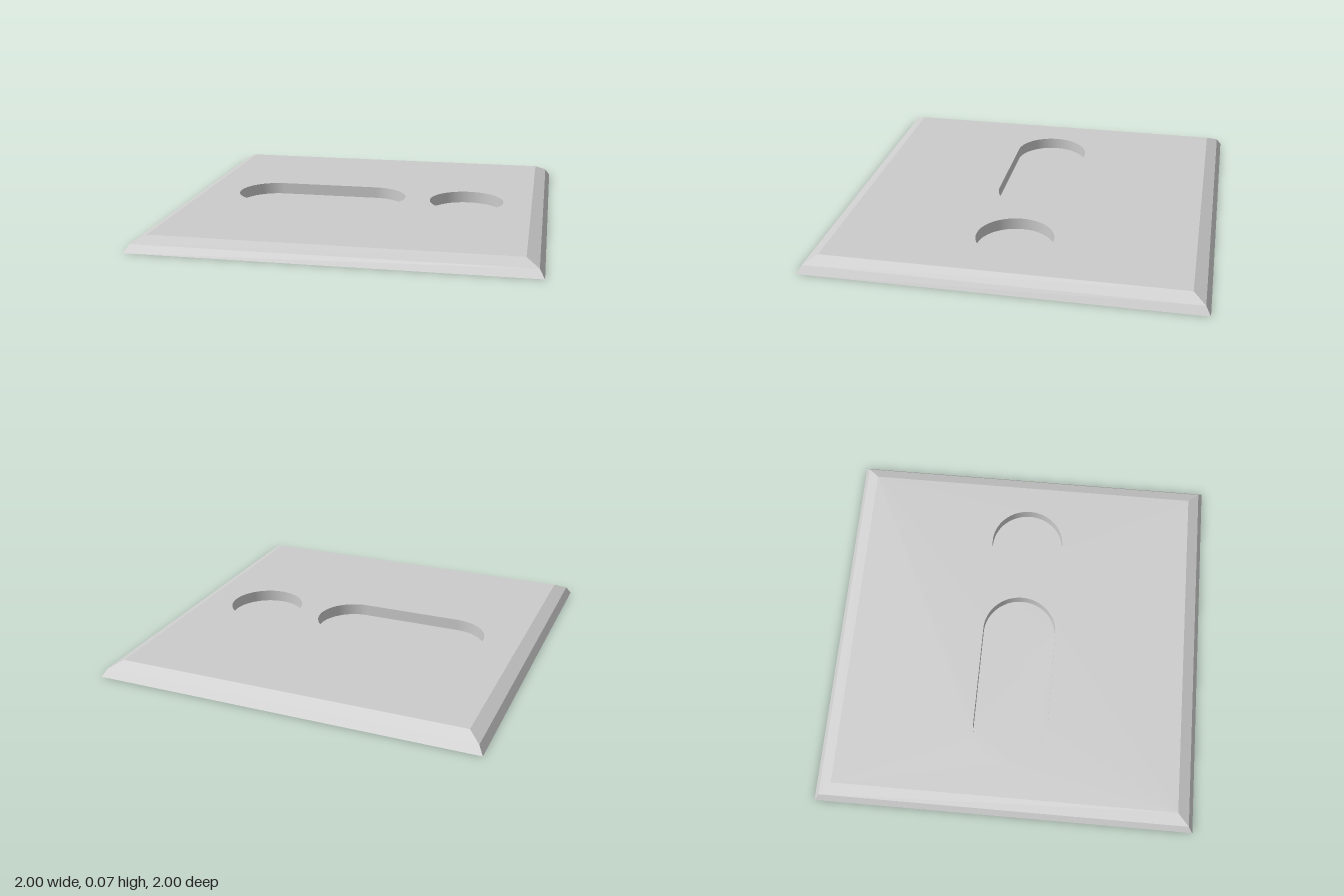
import * as THREE from 'three';

const BASE = 1, STEP = 0.975, TOP = 0.913;   // half widths, bottom to top
const STEP_Y = 0.04, TOP_Y = 0.072, FLOOR_Y = 0.01;
const RADIUS = 0.2;

// Closed outline with round ends, centres running from x0 to x1
function roundEnded(x0, x1) {
  const path = new THREE.Shape();
  path.absarc(x1, 0, RADIUS, -Math.PI / 2, Math.PI / 2, false);
  path.absarc(x0, 0, RADIUS, Math.PI / 2, Math.PI * 1.5, false);
  path.closePath();
  return path;
}

// Inward-facing wall around an outline, from the floor up to the top
function wallGeometry(outline) {
  const pts = outline.getPoints(32).filter((p, i, all) =>
    p.distanceTo(all[(i + 1) % all.length]) > 1e-6);
  const positions = [], index = [];
  pts.forEach((p, i) => {
    positions.push(p.x, p.y, FLOOR_Y, p.x, p.y, TOP_Y);
    const a = 2 * i, b = 2 * ((i + 1) % pts.length);
    index.push(a, b + 1, b, a, a + 1, b + 1);
  });
  const geometry = new THREE.BufferGeometry();
  geometry.setAttribute('position', new THREE.Float32BufferAttribute(positions, 3));
  geometry.setIndex(index);
  geometry.computeVertexNormals();
  return geometry.rotateX(-Math.PI / 2);
}

// Four mitred sloping sides between two square outlines
function slopedSides(lower, upper, y0, y1) {
  return new THREE.CylinderGeometry(upper * Math.SQRT2, lower * Math.SQRT2, y1 - y0, 4, 1, true)
    .rotateY(Math.PI / 4)
    .translate(0, (y0 + y1) / 2, 0);
}

export function createModel() {
  const group = new THREE.Group();
  const smooth = new THREE.MeshStandardMaterial({ color: 0xcccccc, side: THREE.DoubleSide });
  const flat = new THREE.MeshStandardMaterial({ color: 0xcccccc, flatShading: true, side: THREE.DoubleSide });
  const add = (name, geometry, material = flat) => {
    const mesh = new THREE.Mesh(geometry, material);
    mesh.name = name;
    group.add(mesh);
  };

  // Underside and the two sloping rims
  add('underside', new THREE.PlaneGeometry(2 * BASE, 2 * BASE).rotateX(Math.PI / 2));
  add('lowerBevel', slopedSides(BASE, STEP, 0, STEP_Y));
  add('upperBevel', slopedSides(STEP, TOP, STEP_Y, TOP_Y));

  // Top face with a slot and a round opening
  const recesses = { slot: roundEnded(-0.52, 0.02), roundRecess: roundEnded(0.56, 0.56) };
  const face = new THREE.Shape([[-1, -1], [1, -1], [1, 1], [-1, 1]]
    .map(([x, y]) => new THREE.Vector2(x * TOP, y * TOP)));
  face.holes.push(...Object.values(recesses));
  add('topFace', new THREE.ShapeGeometry(face, 32).rotateX(-Math.PI / 2).translate(0, TOP_Y, 0));

  // Walls and floors of the recesses
  for (const [name, outline] of Object.entries(recesses)) {
    add(name + 'Wall', wallGeometry(outline), smooth);
    add(name + 'Floor', new THREE.ShapeGeometry(outline, 32).rotateX(-Math.PI / 2).translate(0, FLOOR_Y, 0));
  }
  return group;
}
